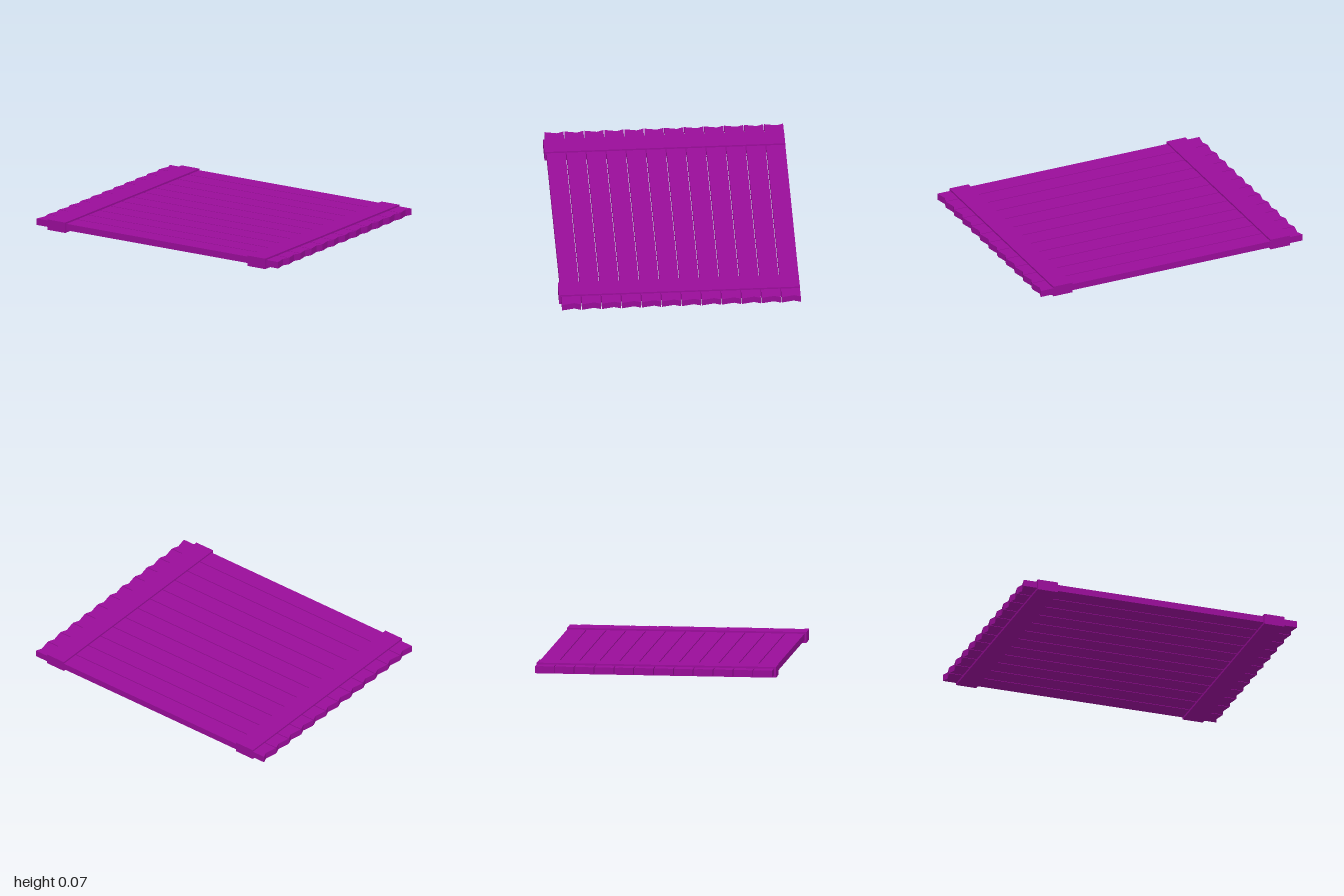
import * as THREE from 'three';

const SLATS = 12, PITCH = 0.1377, WIDTH = 0.131, BACK = -0.83;

// Plank outline with a shallow V notch in each end (shape y becomes -z)
function slatGeometry() {
  const notch = WIDTH * 0.65, inset = 0.982;
  const outline = new THREE.Shape([
    [-1, 0], [1, 0], [inset, notch], [1, WIDTH], [-1, WIDTH], [-inset, notch],
  ].map(([x, y]) => new THREE.Vector2(x, y)));
  const geometry = new THREE.ExtrudeGeometry(outline, { depth: 0.046, bevelEnabled: false });
  return geometry.rotateX(-Math.PI / 2);
}

export function createModel() {
  const model = new THREE.Group();
  model.name = 'slattedPanel';
  const material = new THREE.MeshStandardMaterial({ color: 0x990d99 });

  // Row of planks running left to right
  const slats = new THREE.Group();
  slats.name = 'slats';
  const slat = slatGeometry();
  for (let i = 0; i < SLATS; i++) {
    const mesh = new THREE.Mesh(slat, material);
    mesh.name = `slat${i + 1}`;
    mesh.position.set(0, 0.016, BACK + i * PITCH + WIDTH);
    slats.add(mesh);
  }
  model.add(slats);

  // Thicker cross beams clasping the planks near both ends
  const beam = new THREE.BoxGeometry(0.147, 0.074, 1.66);
  for (const [name, side] of [['leftBeam', 1], ['rightBeam', -1]]) {
    const mesh = new THREE.Mesh(beam, material);
    mesh.name = name;
    mesh.position.set(side * 0.828, 0.037, 0);
    model.add(mesh);
  }
  return model;
}
